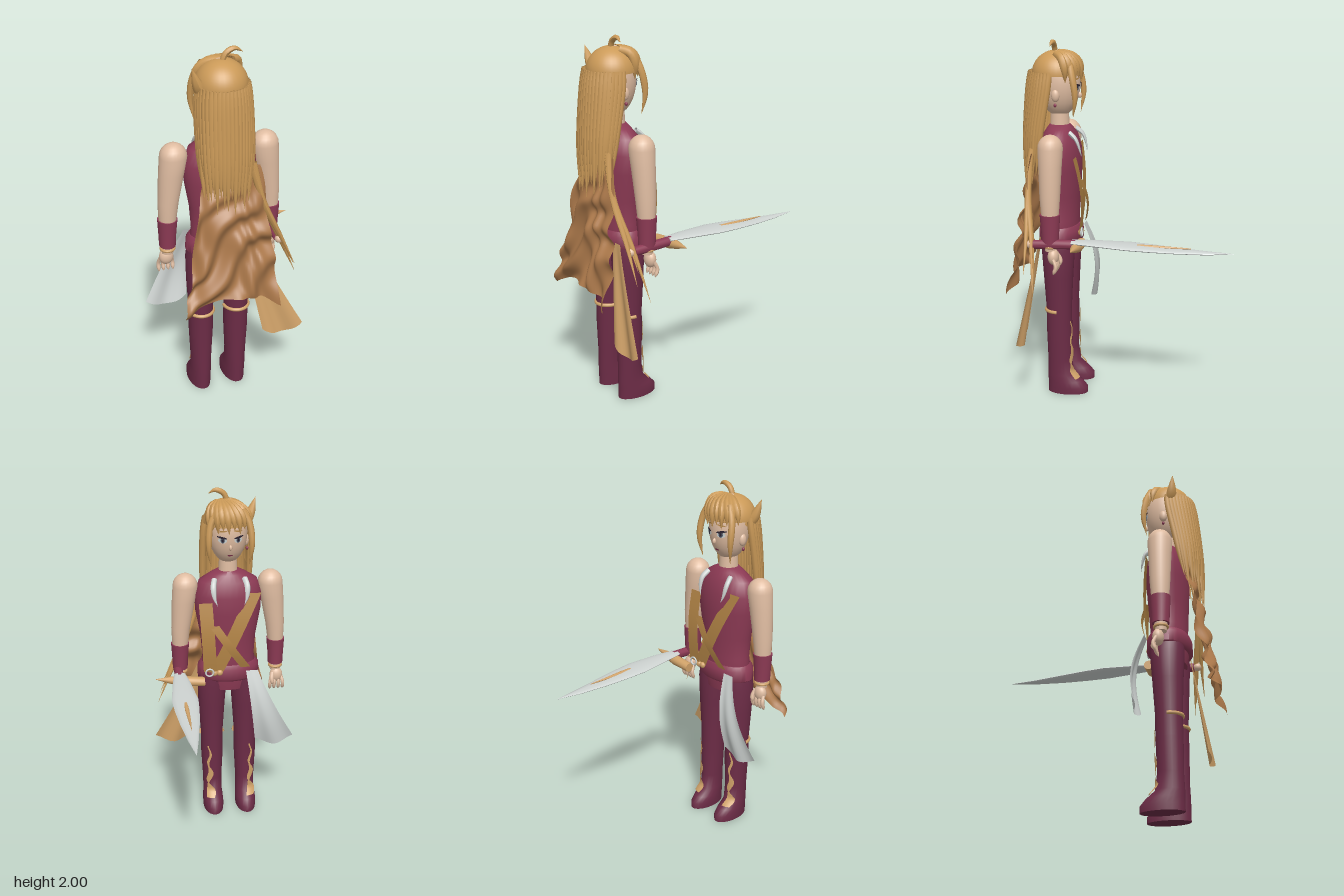
import * as THREE from 'three';
import { toCreasedNormals } from 'three/addons/utils/BufferGeometryUtils.js';

const V = (x, y, z) => new THREE.Vector3(x, y, z);
const CX = -0.035, CZ = 0.36; // body axis
const palette = {
  hair: 0xcb9a58, cape: 0xab784a, gold: 0xd0a269, skin: 0xe0bda2, maroon: 0x8c3a54,
  trousers: 0x6c2c46, silver: 0xcdd2d0, dark: 0x2b2230, strap: 0xb28446, iris: 0x566070,
};

export function createModel() {
  const root = new THREE.Group();
  root.name = 'swordBearer';
  const M = {};
  for (const [name, color] of Object.entries(palette)) {
    M[name] = new THREE.MeshStandardMaterial({ color, side: THREE.DoubleSide });
    M[name].name = name;
  }
  const add = (name, geo, mat) => {
    const mesh = new THREE.Mesh(geo, mat);
    mesh.name = name;
    root.add(mesh);
    return mesh;
  };

  // Closed skin over stacked ellipses [cx, y, cz, rx, rz], listed upwards
  function loft(rings, n = 24) {
    const pos = [], idx = [];
    for (const [cx, y, cz, rx, rz] of rings)
      for (let j = 0; j < n; j++) {
        const a = (j / n) * Math.PI * 2;
        pos.push(cx + rx * Math.cos(a), y, cz + rz * Math.sin(a));
      }
    for (let i = 0; i < rings.length - 1; i++)
      for (let j = 0; j < n; j++) {
        const a = i * n + j, b = i * n + (j + 1) % n;
        idx.push(a, a + n, b, b, a + n, b + n);
      }
    const last = rings.length - 1;
    [0, last].forEach(i => {
      pos.push(rings[i][0], rings[i][1], rings[i][2]);
      const c = pos.length / 3 - 1;
      for (let j = 0; j < n; j++) {
        const a = i * n + j, b = i * n + (j + 1) % n;
        if (i) idx.push(c, b, a); else idx.push(c, a, b);
      }
    });
    const g = new THREE.BufferGeometry();
    g.setAttribute('position', new THREE.Float32BufferAttribute(pos, 3));
    g.setIndex(idx);
    return toCreasedNormals(g, 0.9);
  }

  // Tapered tube along a curve; squash flattens it along world axes
  function strand(points, r, taper = 0.5, squash = V(1, 1, 1), seg = 12) {
    const curve = new THREE.CatmullRomCurve3(points);
    const g = new THREE.TubeGeometry(curve, seg, 1, 8);
    const p = g.attributes.position, v = V(0, 0, 0);
    for (let i = 0; i < p.count; i++) {
      const t = Math.floor(i / 9) / seg, c = curve.getPointAt(t);
      const k = r * (t < taper ? 1 : Math.max(0.03, Math.cos((t - taper) / (1 - taper) * Math.PI / 2)));
      v.fromBufferAttribute(p, i).sub(c).multiplyScalar(k).multiply(squash).add(c);
      p.setXYZ(i, v.x, v.y, v.z);
    }
    g.computeVertexNormals();
    return g;
  }

  // Thin surface from a rule (u, v) -> point
  function sheet(f, nu = 12, nv = 16) {
    const g = new THREE.PlaneGeometry(1, 1, nu, nv), p = g.attributes.position;
    for (let i = 0; i < p.count; i++) {
      const q = f(p.getX(i) + 0.5, 0.5 - p.getY(i));
      p.setXYZ(i, q.x, q.y, q.z);
    }
    g.computeVertexNormals();
    return g;
  }
  const ball = (name, x, y, z, rx, ry, rz, mat) => {
    const m = add(name, new THREE.SphereGeometry(1, 24, 16), mat);
    m.position.set(x, y, z);
    m.scale.set(rx, ry, rz);
  };
  const mix = THREE.MathUtils.lerp;

  // Torso, neck and belt
  add('torso', loft([[CX, .82, CZ, .13, .09], [CX, .92, CZ, .17, .105], [CX, 1.02, CZ, .15, .1], [CX, 1.15, CZ, .16, .108],
    [CX, 1.3, CZ, .187, .117], [CX, 1.4, CZ, .192, .115], [CX, 1.48, CZ, .165, .095], [CX, 1.52, CZ, .1, .07], [CX, 1.54, CZ, .055, .055]], 32), M.maroon);
  add('belt', loft([[CX, .885, CZ, .165, .11], [CX, .9, CZ, .182, .122], [CX, .96, CZ, .178, .12], [CX, .985, CZ, .16, .108]], 32), M.maroon);
  add('neck', new THREE.CylinderGeometry(.048, .055, .14, 20).translate(CX, 1.57, CZ), M.skin);

  for (const s of [-1, 1]) {
    // Leg and boot
    const lx = CX + s * .1;
    add('leg', loft([[lx, 0, .315, .06, .115], [lx, .035, .315, .062, .115], [lx, .07, .33, .06, .1], [lx, .11, .355, .056, .076],
      [lx, .2, CZ, .057, .068], [lx, .38, CZ, .066, .072], [lx, .52, CZ, .066, .072], [lx, .7, CZ, .078, .082],
      [lx - s * .004, .85, CZ, .085, .092], [lx - s * .01, .92, CZ, .08, .09]]), M.trousers);
    add('bootBand', new THREE.TorusGeometry(.067, .01, 8, 20, Math.PI).rotateX(Math.PI / 2).scale(1, 1, 1.07).translate(lx, .5, CZ), M.gold);
    // Ragged gilt trim up the front of the boot
    add('bootTrim', sheet((u, v) => {
      const y = mix(.09, .44, v), w = .06 + .38 * Math.pow(1 - v, 1.3) * Math.abs(Math.sin(v * 9 + .9));
      const a = -s * .35 + (u - .5) * 2 * w + .12 * Math.sin(v * 17);
      const toe = Math.max(0, .13 - y) * .9;
      return V(lx - Math.sin(a) * .071, y, CZ - Math.cos(a) * .078 - toe);
    }, 4, 24), M.gold);

    // Arm, cuff and bracelet
    const ax = t => CX + s * mix(.242, .28, t);
    const arm = [[ax(1), .9, CZ, .03, .03], [ax(1), 1.05, CZ, .042, .044], [ax(.8), 1.2, CZ, .054, .055], [ax(.3), 1.36, CZ, .066, .062]];
    for (let i = 0; i <= 5; i++) {
      const a = i / 5 * 1.5;
      arm.push([ax(0), 1.45 + .073 * Math.sin(a), CZ, .071 * Math.cos(a), .067 * Math.cos(a)]);
    }
    add('arm', loft(arm), M.skin);
    add('cuff', loft([[ax(1), .945, CZ, .043, .046], [ax(1), 1.0, CZ, .045, .048], [ax(.95), 1.1, CZ, .052, .055]]), M.maroon);
    add('bracelet', new THREE.TorusGeometry(.034, .008, 8, 20).rotateX(Math.PI / 2).translate(ax(1), .925, CZ), M.gold);
    // Hand
    const hx = ax(1) + s * .004;
    ball('palm', hx, .868, .345, .038, .045, .03, M.skin);
    for (let f = 0; f < 4; f++) {
      const fx = hx + (f - 1.5) * .019;
      add('finger', strand([V(fx, .86, .34), V(fx + (f - 1.5) * .006, .82, .325), V(fx + (f - 1.5) * .006, .775, .34)], .0105, .75), M.skin);
    }
    add('thumb', strand([V(hx - s * .025, .885, .335), V(hx - s * .03, .85, .315), V(hx - s * .022, .815, .31)], .012, .7), M.skin);

    // Ear, earring and cheek lock
    ball('ear', CX + s * .1, 1.705, CZ, .018, .034, .022, M.skin);
    ball('earring', CX + s * .108, 1.655, CZ, .008, .01, .008, M.maroon);
    add('cheekLock', strand([V(CX + s * .07, 1.9, .29), V(CX + s * .108, 1.82, .268), V(CX + s * .118, 1.7, .25), V(CX + s * .105, 1.59, .265)], .018, .45), M.hair);

    // Feather on the chest
    const qx = CX + s * .085;
    add('feather', strand([V(qx, 1.505, .29), V(qx + s * .01, 1.47, .252), V(qx + s * .005, 1.41, .232), V(qx - s * .01, 1.37, .226)], .016, .3, V(1, 1, .5)), M.silver);
  }

  // Head and face
  ball('head', CX, 1.76, CZ, .108, .18, .115, M.skin);
  const faceZ = (x, y) => CZ - .115 * Math.sqrt(Math.max(0, 1 - ((y - 1.76) / .18) ** 2 - ((x - CX) / .108) ** 2));
  const facePatch = (name, x, y, rx, ry, lift, mat, tilt = 0) => {
    const g = new THREE.CircleGeometry(1, 20).scale(rx, ry, 1).rotateZ(tilt).translate(x, y, 0);
    const p = g.attributes.position;
    for (let i = 0; i < p.count; i++) p.setZ(i, faceZ(p.getX(i), p.getY(i)) - lift);
    g.computeVertexNormals();
    add(name, g, mat);
  };
  for (const s of [-1, 1]) {
    const x = CX + s * .043;
    facePatch('eyeWhite', x, 1.74, .023, .016, .003, M.silver);
    facePatch('iris', x, 1.74, .011, .015, .0045, M.iris);
    facePatch('pupil', x, 1.74, .006, .009, .006, M.dark);
    facePatch('lash', x + s * .003, 1.756, .027, .006, .006, M.dark, s * .15);
    facePatch('brow', x, 1.79, .026, .004, .004, M.strap, -s * .15);
  }
  facePatch('mouth', CX, 1.648, .016, .005, .003, M.maroon);
  ball('nose', CX, 1.698, .248, .009, .016, .012, M.skin);

  // Hair cap, bangs, tuft, curl and long back strands
  add('hairCap', new THREE.SphereGeometry(1, 32, 14, 0, Math.PI * 2, 0, Math.PI / 2).scale(.133, .128, .134).translate(CX, 1.81, .373), M.hair);
  for (let i = 0; i < 10; i++) {
    const a = mix(-1.1, 1.1, i / 9), sx = Math.sin(a), cz = Math.cos(a);
    add('bang', strand([V(CX + .03 + .03 * sx, 1.92, .36), V(CX + .015 + .09 * sx, 1.905, CZ - .075 * cz),
      V(CX + .122 * sx, 1.86, CZ - .113 * cz), V(CX - .008 + .127 * sx, 1.795 - .02 * (i % 2), CZ - .124 * cz)], .023, .5), M.hair);
  }
  add('sideTuft', strand([V(-.135, 1.78, .4), V(-.165, 1.83, .415), V(-.2, 1.925, .43)], .03, .2), M.hair);
  add('crownCurl', strand([V(-.035, 1.92, .38), V(-.015, 1.965, .38), V(.03, 1.985, .38), V(.068, 1.965, .385)], .015, .5), M.hair);
  for (let i = 0; i < 23; i++) {
    const a = mix(-.05, Math.PI + .05, i / 22), c = Math.cos(a), s = Math.sin(a);
    const end = 1.22 + .05 * Math.sin(i * 2.4) + .05 * c * c;
    add('backStrand', strand([V(CX + .12 * c, 1.825, .395 + .115 * s), V(CX + .13 * c, 1.76, .4 + .123 * s),
      V(CX + .134 * c, 1.5, .445 + .1 * s), V(CX + .125 * c, end, .475 + .08 * s)], .0185, .55, undefined, 14), M.hair);
  }
  [[.375, .69, .43], [.365, .74, .44], [.345, .78, .49], [.31, .84, .46]].forEach(([x, y, z], i) =>
    add('sideTress', strand([V(.085 + i * .004, 1.42, .49), V(.15, 1.2, .5), V(mix(.15, x, .55), mix(1.2, y, .55), mix(.49, z, .6)), V(x, y, z)], .017, .35), M.hair));

  // Cape with deep diagonal folds
  add('cape', sheet((u, v) => {
    const e = 2 * u - 1;
    const fold = .02 * Math.sin(12 * u + 21 * v + 1.8 * Math.sin(7 * v - 4 * u)) + .009 * Math.sin(19 * u - 13 * v + 2 * Math.sin(9 * u));
    return V(mix(mix(-.16, -.29, v), mix(.135, .225, Math.pow(v, .8)), u) + .006 * Math.sin(12 * v),
      mix(1.4, .62 + .085 * (1 - e * e), v), .505 + .095 * v - .03 * e * e * (1 - v) + fold * Math.min(1, .4 + v));
  }, 48, 72), M.cape);

  // Hip sashes
  add('goldSash', sheet((u, v) => V(mix(mix(.06, .165, v), mix(.13, .395, Math.pow(v, 1.1)), u),
    mix(.93, .405 - .045 * Math.sin(Math.PI * u), v), .45 + .07 * v + .012 * Math.sin(u * 9) * v)), M.gold);
  add('silverSash', sheet((u, v) => V(mix(mix(-.125, -.175, v), mix(-.195, -.405, Math.pow(v, 1.15)), u),
    mix(.95, .515 - .045 * Math.sin(Math.PI * u), v), .25 - .04 * Math.sin(Math.PI * v) - .03 * v + .01 * Math.sin(u * 9) * v)), M.silver);

  // Crossed chest straps
  [[V(-.17, 1.42, .27), V(.05, .96, .237), .042], [V(.105, 1.38, .252), V(.085, .97, .225), .038], [V(.06, 1.25, .226), V(-.12, .98, .238), .028]]
    .forEach(([a, b, w]) => add('chestStrap', sheet((u, v) => {
      const p = a.clone().lerp(b, v);
      return V(p.x + (u - .5) * 2 * w, p.y, p.z - .022 * Math.sin(Math.PI * v));
    }, 2, 12), M.strap));
  add('beltRing', new THREE.TorusGeometry(.022, .005, 8, 20).translate(.09, .965, .22), M.silver);
  for (const x of [.03, .06]) ball('beltStud', x, .955, .233, .018, .018, .014, M.gold);

  // Sword held level beside the left hip, blade pointing to -z
  const alongZ = rings => loft(rings, 16).rotateX(-Math.PI / 2);
  add('blade', alongZ([[.26, -.24, .958, .033, .01], [.26, -.12, .956, .052, .013], [.26, .06, .95, .073, .014], [.26, .18, .944, .066, .013],
    [.26, .32, .937, .05, .011], [.26, .48, .932, .026, .008], [.26, .62, .934, .001, .001]]), M.silver);
  add('bladeInlay', alongZ([[.262, .11, .957, .009, .006], [.262, .18, .955, .012, .007], [.26, .3, .952, .007, .006], [.26, .395, .952, .001, .002]]), M.gold);
  add('guard', loft([[-.915, .12, .215, .026, .028], [-.925, .24, .215, .03, .03], [-.935, .31, .217, .022, .022], [-.945, .4, .22, .001, .001]], 16)
    .rotateZ(-Math.PI / 2).scale(1, -1, 1).scale(1, -1, 1).translate(0, 1.86, 0).translate(0, -1.86, 0), M.gold);
  add('grip', alongZ([[.26, -.45, .935, .024, .024], [.26, -.35, .94, .026, .026], [.26, -.22, .945, .025, .025]]), M.maroon);
  ball('pommel', .26, .935, .468, .022, .022, .022, M.skin);
  return root;
}
